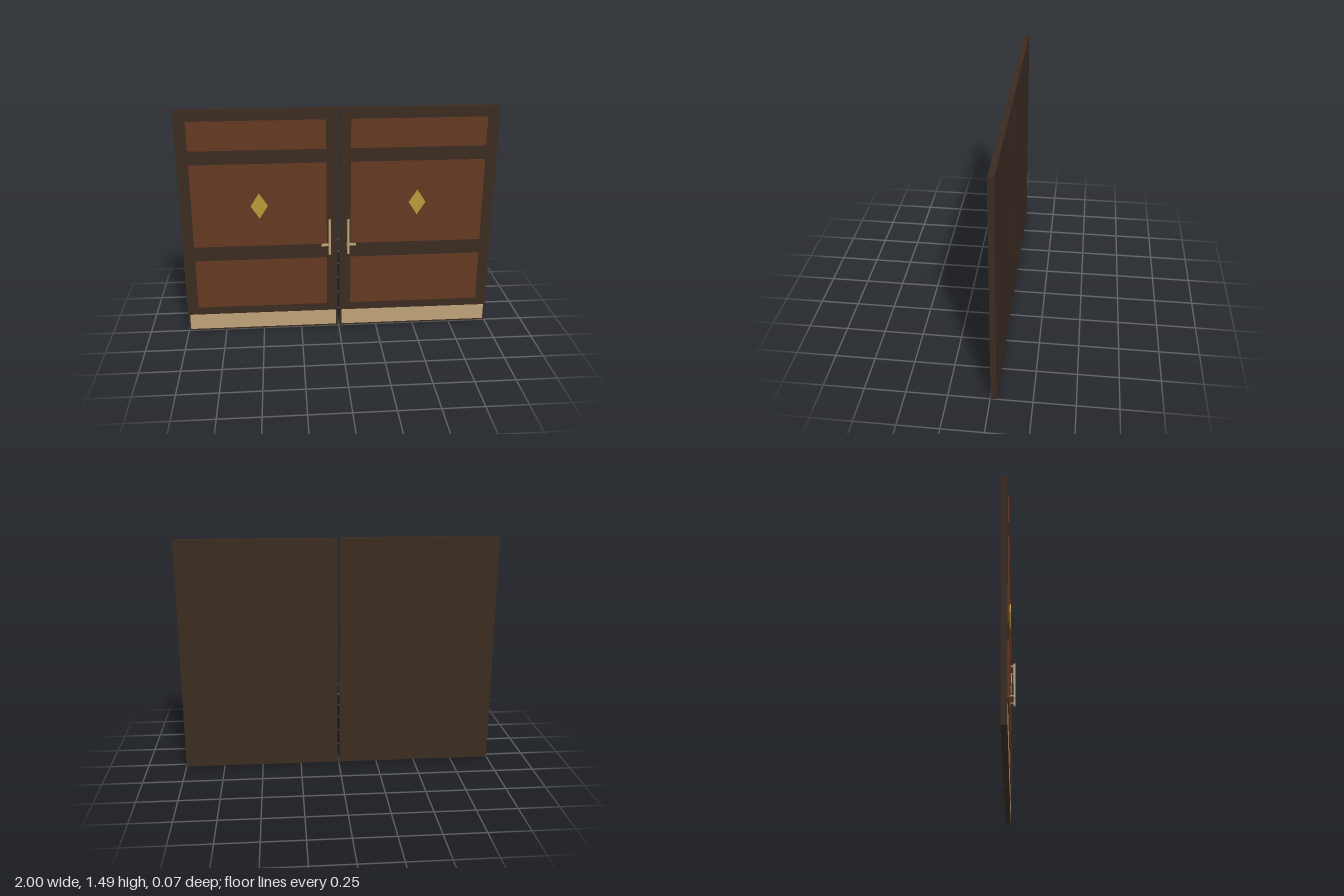
import * as THREE from 'three';

const flat = (name, color) => {
  const m = new THREE.MeshStandardMaterial({ color });
  m.name = name;
  return m;
};

export function createModel() {
  const frameWood = flat('dark frame wood', 0x3a2b21);
  const panelWood = flat('red brown panel wood', 0x643822);
  const brass = flat('pale brass', 0xbda377);
  const gold = flat('gold inlay', 0xb8993a);

  const FACE = -0.003; // front surface of the door slabs

  const add = (group, name, geometry, material, x, y, z) => {
    const mesh = new THREE.Mesh(geometry, material);
    mesh.name = name;
    mesh.position.set(x, y, z);
    group.add(mesh);
    return mesh;
  };
  // Box given by its limits on each axis
  const block = (group, name, material, [x0, x1], [y0, y1], [z0, z1]) =>
    add(group, name, new THREE.BoxGeometry(x1 - x0, y1 - y0, z1 - z0), material,
      (x0 + x1) / 2, (y0 + y1) / 2, (z0 + z1) / 2);

  // Rhombus outline for the inlay
  const rhombus = new THREE.Shape([
    new THREE.Vector2(0.054, 0), new THREE.Vector2(0, 0.084),
    new THREE.Vector2(-0.054, 0), new THREE.Vector2(0, -0.084),
  ]);

  function makeDoor(side) {
    const door = new THREE.Group();
    door.name = side > 0 ? 'leftDoor' : 'rightDoor';
    const span = (a, b) => (side > 0 ? [a, b] : [-b, -a]);

    block(door, 'doorSlab', frameWood, span(0.007, 1), [0, 1.488], [-0.037, FACE]);

    // Raised panels, bottom to top
    for (const rows of [[0.17, 0.5], [0.6, 1.145], [1.235, 1.418]])
      block(door, 'raisedPanel', panelWood, span(0.077, 0.927), rows, [FACE, 0.004]);

    block(door, 'kickPlate', brass, span(0.018, 0.987), [0.01, 0.115], [FACE, -0.0005]);

    add(door, 'diamondInlay',
      new THREE.ExtrudeGeometry(rhombus, { depth: 0.006, bevelEnabled: false }),
      gold, side * 0.502, 0.872, 0.004);

    // Pull handle: upright bar on two posts, with a small latch plate
    const handle = new THREE.Group();
    handle.name = 'pullHandle';
    const x = side * 0.06;
    add(handle, 'handleBar', new THREE.CylinderGeometry(0.0075, 0.0075, 0.24, 16),
      brass, x, 0.655, 0.0295);
    for (const y of [0.555, 0.757])
      add(handle, 'handlePost', new THREE.CylinderGeometry(0.0055, 0.0055, 0.033, 12),
        brass, x, y, 0.0135).rotation.x = Math.PI / 2;
    block(handle, 'latchPlate', brass, span(0.05, 0.112), [0.582, 0.599], [FACE, 0.004]);
    door.add(handle);
    return door;
  }

  const model = new THREE.Group();
  model.name = 'doubleDoors';
  model.add(makeDoor(1), makeDoor(-1));
  return model;
}
